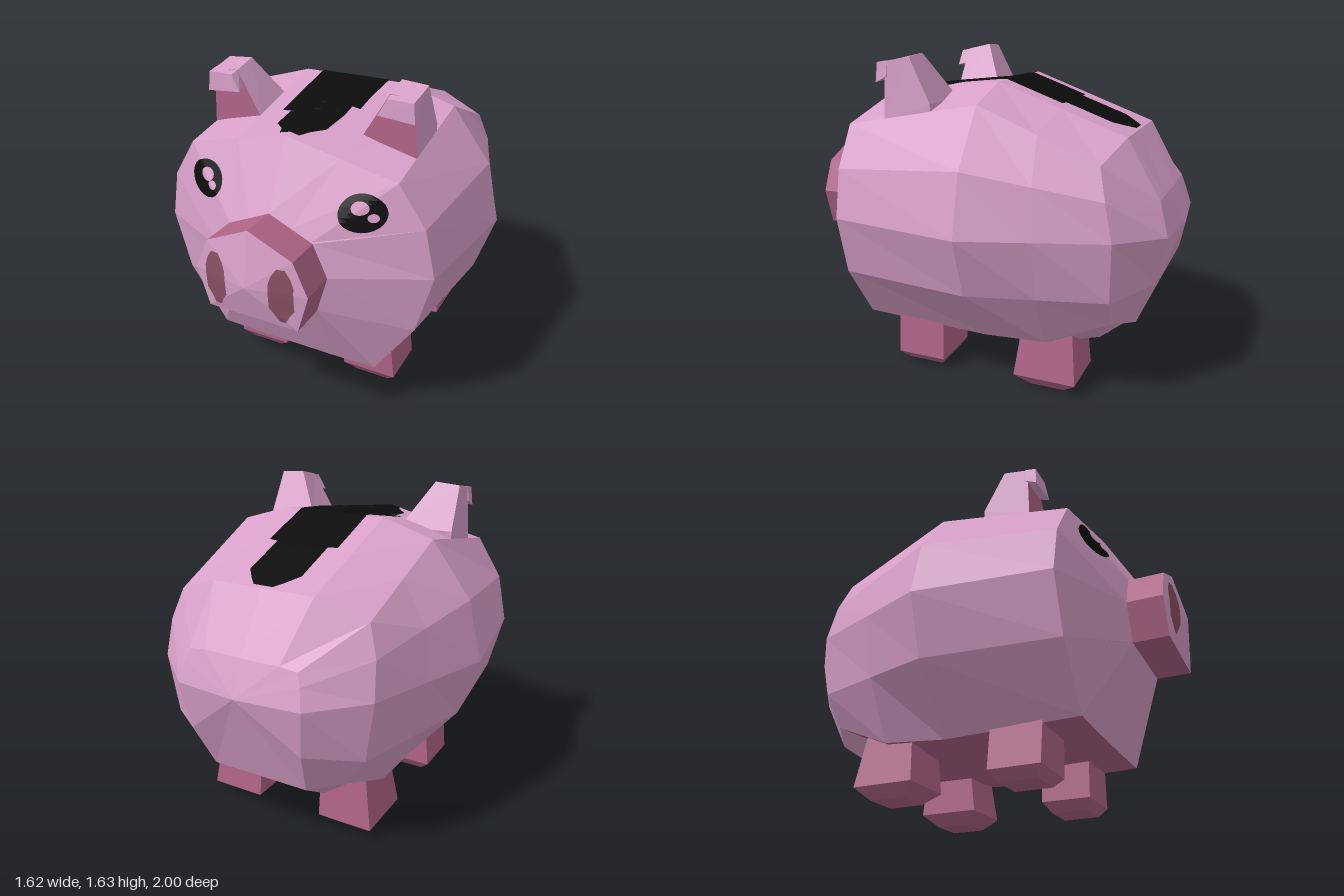
import * as THREE from 'three';

const paint = (name, color, extra = {}) => {
  const m = new THREE.MeshStandardMaterial({ color, flatShading: true, ...extra });
  m.name = name;
  return m;
};

// Skin over matching cross-sections; pick(normal) chooses the material of each face.
function loft(name, rings, materials, pick = () => 0) {
  const buckets = materials.map(() => []);
  const tri = (a, b, c) => {
    const [A, B, C] = [a, b, c].map(p => new THREE.Vector3(...p));
    const n = B.clone().sub(A).cross(C.clone().sub(A));
    if (n.length() < 1e-7) return;
    buckets[pick(n.normalize())].push(...a, ...b, ...c);
  };
  for (let i = 0; i < rings.length - 1; i++) {
    const p = rings[i], q = rings[i + 1], n = p.length;
    for (let j = 0; j < n; j++) {
      const k = (j + 1) % n;
      tri(p[j], p[k], q[k]);
      tri(p[j], q[k], q[j]);
    }
  }
  const g = new THREE.BufferGeometry();
  g.setAttribute('position', new THREE.Float32BufferAttribute(buckets.flat(), 3));
  let start = 0;
  buckets.forEach((b, i) => {
    if (b.length) g.addGroup(start, b.length / 3, i);
    start += b.length / 3;
  });
  g.computeVertexNormals();
  const mesh = new THREE.Mesh(g, materials.length > 1 ? materials : materials[0]);
  mesh.name = name;
  return mesh;
}

const tip = (n, ...p) => Array.from({ length: n }, () => p);
// Full ring from its +x half, running from top centre to bottom centre
const whole = half => [...half, ...half.slice(1, -1).reverse().map(([x, y, z]) => [-x, y, z])];
const flip = rings => rings.map(r => r.map(([x, y, z]) => [-x, y, z]).reverse());
const rect = (x0, x1, z0, z1, y) => [[x0, y, z0], [x1, y, z0], [x1, y, z1], [x0, y, z1]];

// Thin painted patch: rows of [t, left, right] dropped on a surface along z or y.
function drape(name, rows, axis, target, material, lift = 0.006) {
  const ray = new THREE.Raycaster(), cols = 10, fine = [];
  rows.forEach((r, i) => {
    if (!i) return fine.push(r);
    const a = rows[i - 1], n = Math.max(1, Math.ceil(Math.abs(r[0] - a[0]) / 0.03));
    for (let k = 1; k <= n; k++) fine.push(r.map((v, m) => a[m] + (v - a[m]) * k / n));
  });
  const dir = axis === 'z' ? new THREE.Vector3(0, 0, -1) : new THREE.Vector3(0, -1, 0);
  const pos = [], index = [];
  fine.forEach(([t, l, r], i) => {
    for (let j = 0; j <= cols; j++) {
      const x = l + (r - l) * j / cols;
      const from = axis === 'z' ? new THREE.Vector3(x, t, 3) : new THREE.Vector3(x, 3, t);
      ray.set(from, dir);
      const hit = ray.intersectObject(target, false)[0];
      const p = hit ? hit.point : from.addScaledVector(dir, 2.4);
      p.addScaledVector(dir, -lift);
      pos.push(p.x, p.y, p.z);
      if (i && j) {
        const d = i * (cols + 1) + j - 1, a = d - cols - 1;
        index.push(a, d, d + 1, a, d + 1, a + 1);
      }
    }
  });
  const g = new THREE.BufferGeometry();
  g.setAttribute('position', new THREE.Float32BufferAttribute(pos, 3));
  g.setIndex(index);
  g.computeVertexNormals();
  const mesh = new THREE.Mesh(g, material);
  mesh.name = name;
  return mesh;
}

const ellipse = (cx, cy, rx, ry, n = 12) => Array.from({ length: n + 1 }, (_, i) => {
  const a = Math.PI * i / n, w = rx * Math.sin(a);
  return [cy + ry * Math.cos(a), cx - w, cx + w];
});

export function createModel() {
  const pink = paint('pink skin', 0xd8a0c8);
  const rose = paint('dark rose', 0xb06488);
  const black = paint('black', 0x0c0c0c);
  const nostrilBrown = paint('nostril brown', 0x8a5064);
  const model = new THREE.Group();
  model.name = 'pig';

  // Body: rings from the snout root to the rump
  const snoutHalf = z => [[0, 1.11, z], [0.11, 1.06, z], [0.21, 1.015, z], [0.22, 1.01, z], [0.29, 0.85, z],
    [0.235, 0.66, z], [0.23, 0.66, z], [0.2, 0.66, z], [0, 0.66, z]];
  const brow = [[0, 1.42, 0.6], [0.27, 1.355, 0.59], [0.54, 1.29, 0.58], [0.67, 1.09, 0.57], [0.72, 0.85, 0.565],
    [0.64, 0.55, 0.57], [0.44, 0.255, 0.57], [0.2, 0.25, 0.57], [0, 0.25, 0.57]];
  const middle = [[0, 1.5], [0.28, 1.5], [0.54, 1.42], [0.74, 1.15], [0.81, 0.85],
    [0.71, 0.55], [0.45, 0.24], [0.22, 0.235], [0, 0.235]].map(([x, y]) => [x, y, -0.11]);
  const hip = [[0, 1.27, -0.75], [0.27, 1.27, -0.75], [0.51, 1.18, -0.69], [0.56, 1.03, -0.73], [0.575, 0.85, -0.77],
    [0.53, 0.55, -0.76], [0.43, 0.4, -0.74], [0.25, 0.24, -0.65], [0, 0.24, -0.65]];
  const flank = middle.map((p, i) => p.map((v, k) => (v + hip[i][k]) / 2));
  flank[6] = [0.46, 0.265, -0.43];
  const rump = [[0, 1, -0.93], [0.2, 1, -0.925], [0.29, 0.99, -0.92], [0.31, 0.93, -0.94], [0.33, 0.83, -0.97],
    [0.3, 0.59, -0.93], [0.26, 0.36, -0.83], [0.15, 0.36, -0.83], [0, 0.36, -0.83]];
  const body = loft('body', [...[snoutHalf(0.77), brow, middle, flank, hip, rump].map(whole), tip(16, 0, 0.83, -1)],
    [pink, rose], n => (n.y < -0.9 ? 1 : 0));
  model.add(body);

  // Snout with a slightly pointed front
  const snout = loft('snout', [tip(16, 0, 0.85, 1), whole(snoutHalf(0.945)), whole(snoutHalf(0.76))],
    [pink, rose], n => (n.z > 0.7 ? 0 : 1));
  model.add(snout);

  // Back patch
  model.add(drape('backPatch', [[-0.74, -0.05, 0.05], [-0.7, -0.09, 0.09], [-0.64, -0.14, 0.14], [-0.41, -0.14, 0.14],
    [-0.405, -0.19, 0.19], [0.23, -0.19, 0.19], [0.235, -0.19, 0.15], [0.31, -0.19, 0.15], [0.315, -0.14, 0.15],
    [0.46, -0.13, 0.13], [0.52, -0.07, 0.08], [0.57, -0.05, 0.05]], 'y', body, black));

  // Left and right details
  for (const s of [1, -1]) {
    const side = s > 0 ? 'left' : 'right';
    const place = rings => (s > 0 ? rings : flip(rings));

    // Eye with two highlights
    model.add(drape(side + 'Eye', ellipse(0.41 * s, 1.155, 0.105, 0.085), 'z', body, black));
    model.add(drape(side + 'EyeHighlight', ellipse(0.4, 1.18, 0.04, 0.03)
      .map(([t, l, r]) => (s > 0 ? [t, l, r] : [t, -r, -l])), 'z', body, pink, 0.012));
    model.add(drape(side + 'EyeGlint', ellipse(s > 0 ? 0.46 : -0.36, 1.14, 0.025, 0.02), 'z', body, pink, 0.012));

    // Nostril
    model.add(drape(side + 'Nostril', [[0.97, -0.02, 0.02], [0.93, -0.045, 0.045], [0.89, -0.058, 0.058],
      [0.77, -0.058, 0.058], [0.74, -0.035, 0.035], [0.7, -0.015, 0.015]]
      .map(([t, l, r]) => [t, l + 0.17 * s, r + 0.17 * s]), 'z', snout, nostrilBrown));

    // Ear with a tip folded forward
    const ear = loft(side + 'Ear', place([tip(4, 0.46, 1.615, 0.3),
      [[0.4, 1.635, 0.24], [0.53, 1.625, 0.24], [0.53, 1.6, 0.37], [0.4, 1.605, 0.37]],
      [[0.26, 1.41, 0.12], [0.54, 1.41, 0.13], [0.54, 1.32, 0.38], [0.26, 1.37, 0.38]],
      rect(0.27, 0.54, 0.13, 0.38, 1.28)]), [pink, rose], n => (n.z > 0.7 ? 1 : 0));
    const fold = loft(side + 'EarTip', place([tip(4, 0.46, 1.6, 0.38),
      [[0.4, 1.605, 0.36], [0.53, 1.605, 0.36], [0.53, 1.595, 0.415], [0.405, 1.595, 0.415]],
      [[0.37, 1.53, 0.36], [0.54, 1.53, 0.36], [0.54, 1.5, 0.42], [0.36, 1.515, 0.42]],
      tip(4, 0.46, 1.515, 0.38)]), [pink]);
    model.add(ear, fold);

    // Legs with chamfered feet
    model.add(loft(side + 'FrontLeg', place([rect(0.18, 0.45, 0.13, 0.39, 0.28), rect(0.18, 0.47, 0.125, 0.385, 0.06),
      rect(0.24, 0.42, 0.16, 0.35, 0.01), tip(4, 0.33, 0.008, 0.25)]), [rose]));
    model.add(loft(side + 'BackLeg', place([rect(0.18, 0.43, -0.56, -0.3, 0.32), rect(0.18, 0.47, -0.59, -0.27, 0.06),
      rect(0.24, 0.42, -0.52, -0.34, 0), tip(4, 0.33, 0, -0.43)]), [rose]));
  }
  return model;
}
